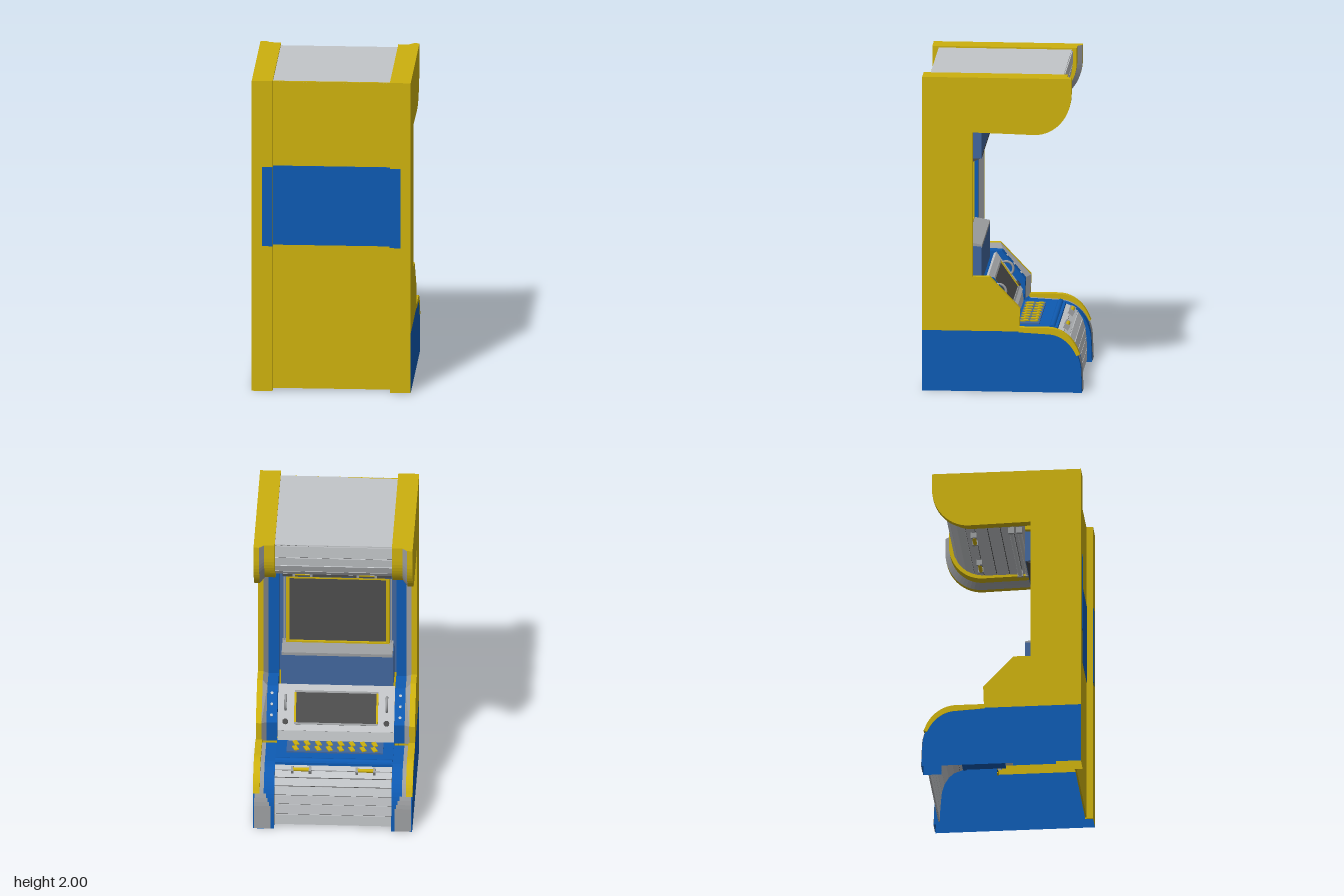
import * as THREE from 'three';

const mat = (name, color) => {
  const m = new THREE.MeshStandardMaterial({ color, side: THREE.DoubleSide });
  m.name = name;
  return m;
};

// Points along a quarter ellipse, in [z, y]
function arc(cz, cy, rz, ry, a0, a1, n = 14) {
  const pts = [];
  for (let i = 0; i <= n; i++) {
    const a = (a0 + (a1 - a0) * i / n) * Math.PI / 180;
    pts.push([cz + rz * Math.cos(a), cy + ry * Math.sin(a)]);
  }
  return pts;
}
const shapeOf = pts => new THREE.Shape(pts.map(p => new THREE.Vector2(p[0], p[1])));

// Flat plate in the z-y plane at a given x
function plate(pts, x) {
  return new THREE.ShapeGeometry(shapeOf(pts)).rotateY(-Math.PI / 2).translate(x, 0, 0);
}
// Solid with a z-y cross-section running from x0 to x1
function bar(pts, x0, x1) {
  return new THREE.ExtrudeGeometry(shapeOf(pts), { depth: x1 - x0, bevelEnabled: false })
    .rotateY(-Math.PI / 2).translate(x1, 0, 0);
}
// Ruled strip between two z-y paths at two x positions
function ribbon(a, xa, b, xb) {
  const v = [];
  const put = (x, p) => v.push(x, p[1], p[0]);
  for (let i = 0; i < a.length - 1; i++) {
    put(xa, a[i]); put(xa, a[i + 1]); put(xb, b[i]);
    put(xb, b[i]); put(xa, a[i + 1]); put(xb, b[i + 1]);
  }
  const g = new THREE.BufferGeometry();
  g.setAttribute('position', new THREE.Float32BufferAttribute(v, 3));
  g.computeVertexNormals();
  return g;
}

export function createModel() {
  const root = new THREE.Group();
  const yellow = mat('yellow', 0xccb00e), blue = mat('blue', 0x0e5ab2), slate = mat('slateBlue', 0x41669c);
  const grey = mat('midGrey', 0x9a9c9e), light = mat('lightGrey', 0xc2c5c8), dark = mat('darkGrey', 0x4c4c4c);

  const add = (name, geo, m, parent = root) => {
    const mesh = new THREE.Mesh(geo, m);
    mesh.name = name;
    parent.add(mesh);
    return mesh;
  };
  const box = (name, m, w, h, d, x, y, z, parent = root) => {
    const mesh = add(name, new THREE.BoxGeometry(w, h, d), m, parent);
    mesh.position.set(x, y, z);
    return mesh;
  };

  // Cabinet edge paths: outer rim and the recessed inner rim
  const hoodOut = [[-0.43, 2], ...arc(-0.2, 1.9, 0.23, 0.26, 180, 270), [0.185, 1.65]];
  const hoodIn = [[-0.4, 2], ...arc(-0.19, 1.905, 0.21, 0.23, 180, 270), [0.215, 1.685]];
  const jambOut = [[0.185, 1.65], [0.185, 0.73]];
  const jambIn = [[0.215, 1.685], [0.215, 0.7]];
  const deskOut = [[0.185, 0.73], [0.08, 0.73], [-0.11, 0.53], [-0.105, 0.4]];
  const deskIn = [[0.215, 0.7], [0.065, 0.7], [-0.08, 0.52], [-0.075, 0.385]];
  const baseArc = arc(-0.28, 0.13, 0.21, 0.245, 90, 180);
  const basePath = [[-0.1, 0.385], ...baseArc, [-0.495, 0]];
  const rearOut = [[0.5, 0], [0.5, 2], [-0.43, 2]];
  const rearIn = [[0.5, 0], [0.5, 2], [-0.4, 2]];

  for (const s of [1, -1]) {
    const side = new THREE.Group();
    side.name = s > 0 ? 'leftSide' : 'rightSide';
    root.add(side);
    const X0 = s * 0.495, X1 = s * 0.46, X2 = s * 0.43, X3 = s * 0.365;

    // Outer skins
    add('upperSkin', plate([[0.5, 0.385], [0.5, 2], ...hoodOut, ...deskOut, [-0.1, 0.385]], X0), yellow, side);
    add('baseSkin', plate([[0.5, 0], [0.5, 0.385], ...basePath], X0), blue, side);

    // Rear and top rail
    add('railOuter', ribbon(rearOut, X0, rearOut, X1), yellow, side);
    add('railMiddle', ribbon(rearOut, X1, rearIn, X2), yellow, side);
    add('railInner', ribbon(rearIn, X2, rearIn, X3), yellow, side);
    box('railReturn', yellow, 0.004, 2, 0.05, s * 0.367, 1, 0.475, side);
    box('topReturn', yellow, 0.004, 0.05, 0.87, s * 0.367, 1.975, 0.065, side);

    // Stepped front edges: rim, grey bevel, inner band
    [['hood', hoodOut, hoodIn, yellow], ['jamb', jambOut, jambIn, blue], ['desk', deskOut, deskIn, blue]]
      .forEach(([n, o, i, m]) => {
        add(n + 'Rim', ribbon(o, X0, o, X1), yellow, side);
        add(n + 'Bevel', ribbon(o, X1, i, X2), grey, side);
        add(n + 'Band', ribbon(i, X2, i, X3), m, side);
      });

    // Inner cheeks
    add('hoodCheek', plate([...hoodIn, [0.27, 1.685], [0.27, 2]], X3), yellow, side);
    add('jambCheek', plate([...jambIn, [0.27, 0.7], [0.27, 1.685]], X3), blue, side);
    add('deskCheek', plate([...deskIn, [0.27, 0.385], [0.27, 0.7]], X3), blue, side);
    add('baseCheek', plate([...basePath, [-0.38, 0], ...arc(-0.27, 0.13, 0.11, 0.16, 180, 90), [-0.1, 0.3]], X3), blue, side);

    // Base front, its arched plate and the yellow bumper
    add('baseFront', ribbon(basePath, X0, basePath, X3), blue, side);
    const lift = basePath.map(([z, y]) => [z - 0.003, y + 0.003]);
    add('baseBevel', ribbon(lift, X1, lift, X2), grey, side);
    const low = lift.filter(p => p[1] < 0.25 && p[0] < -0.4);
    const ends = low.map((p, i) => s * (0.385 + 0.03 * Math.max(0, 1 - i / 3)));
    for (let i = 0; i < low.length - 1; i++)
      add('baseFrontPlate', ribbon([low[i], low[i + 1]], ends[i], [low[i], low[i + 1]], s * 0.488), grey, side);
    const bumper = [[-0.1, 0.38], [-0.1, 0.41], ...arc(-0.28, 0.17, 0.21, 0.24, 90, 158),
      [-0.482, 0.245], [-0.465, 0.235], ...arc(-0.28, 0.13, 0.2, 0.24, 154, 90)];
    add('bumper', bar(bumper, s > 0 ? 0.455 : -0.497, s > 0 ? 0.497 : -0.455), yellow, side);

    // Bolts on the sloping desk band
    for (const t of [0.2, 0.5, 0.8]) {
      const b = add('bolt', new THREE.CylinderGeometry(0.009, 0.009, 0.008, 10), light, side);
      b.position.set(s * 0.4, 0.7 - 0.18 * t, 0.065 - 0.145 * t);
      b.rotation.x = -0.68;
    }
    // Thin blue panel across the rear rail
    box('rearPanelEnd', blue, 0.066, 0.51, 0.004, s * 0.398, 1.19, 0.501, side);
  }

  // Centre shell
  box('backPanel', yellow, 0.73, 1.98, 0.01, 0, 1, 0.455);
  box('rearPanel', blue, 0.73, 0.51, 0.004, 0, 1.19, 0.461);
  box('topPanel', light, 0.73, 0.01, 0.83, 0, 1.985, 0.045);
  box('screenWall', slate, 0.73, 1.0, 0.01, 0, 1.195, 0.275);

  // Slatted curved covers
  function slats(name, path) {
    const g = new THREE.Group();
    g.name = name;
    root.add(g);
    add('backing', ribbon(path, -0.365, path, 0.365), dark, g);
    for (let i = 0; i < path.length - 1; i++) {
      const [z0, y0] = path[i], [z1, y1] = path[i + 1];
      const len = Math.hypot(z1 - z0, y1 - y0);
      const m = box('slat', light, 0.728, 0.012, len * 0.93, 0, (y0 + y1) / 2, (z0 + z1) / 2, g);
      m.rotation.x = -Math.atan2(y1 - y0, z1 - z0);
    }
  }
  slats('hoodSlats', [[-0.37, 1.985], ...arc(-0.18, 1.9, 0.19, 0.2, 180, 270, 5), [-0.1, 1.7], [-0.02, 1.7], [0.06, 1.7], [0.14, 1.7]]);
  slats('baseSlats', [[-0.3, 0.375], ...arc(-0.32, 0.16, 0.135, 0.205, 95, 180, 5), [-0.46, 0.09], [-0.46, 0.015]]);

  // Yellow grab handles on grey brackets
  function handle(x, y, z, tilt) {
    const g = new THREE.Group();
    g.name = 'handle';
    g.position.set(x, y, z);
    g.rotation.x = tilt;
    root.add(g);
    const grip = add('grip', new THREE.CylinderGeometry(0.012, 0.012, 0.1, 10), yellow, g);
    grip.rotation.z = Math.PI / 2;
    grip.position.y = 0.022;
    for (const e of [-1, 1]) box('bracket', grey, 0.016, 0.04, 0.036, e * 0.055, 0.012, 0, g);
  }
  for (const x of [-0.2, 0.2]) {
    handle(x, 0.35, -0.375, -0.5);
    handle(x, 1.695, -0.19, Math.PI);
  }

  // Light tubes below the hood
  for (const z of [0.05, 0.1]) {
    const t = add('lightTube', new THREE.CylinderGeometry(0.014, 0.014, 0.64, 12), light);
    t.rotation.z = Math.PI / 2;
    t.position.set(0, 1.67, z);
    for (const e of [-1, 1]) box('tubeHolder', grey, 0.02, 0.045, 0.036, e * 0.32, 1.677, z);
  }
  box('hoodTrim', yellow, 0.73, 0.035, 0.06, 0, 1.675, 0.17);

  // Main screen with its frame and surrounding housings
  box('screen', dark, 0.61, 0.46, 0.01, 0, 1.155, 0.252);
  for (const e of [-1, 1]) {
    box('screenFrameSide', yellow, 0.022, 0.5, 0.034, e * 0.312, 1.155, 0.25);
    box('screenFrameEdge', yellow, 0.64, 0.022, 0.034, 0, 1.155 + e * 0.238, 0.25);
    box('screenFrameLip', grey, 0.01, 0.5, 0.02, e * 0.332, 1.155, 0.26);
  }
  add('upperHousing', bar([[0.14, 1.45], [0.27, 1.45], [0.27, 1.65], [0.14, 1.65]], -0.35, 0.35), slate);
  add('upperShelf', bar([[0.14, 1.452], [0.27, 1.395], [0.27, 1.47], [0.139, 1.47]], -0.34, 0.34), dark);
  add('lowerHousing', bar([[0.14, 0.66], [0.27, 0.66], [0.27, 0.89], [0.14, 0.89]], -0.35, 0.35), slate);
  add('lowerShelf', bar([[0.138, 0.88], [0.27, 0.88], [0.27, 0.925], [0.138, 0.9]], -0.345, 0.345), grey);

  // Desk: floor, riser and sloping control panel
  box('deskFloor', blue, 0.73, 0.02, 0.29, 0, 0.377, -0.19);
  box('keyTray', slate, 0.6, 0.012, 0.13, 0, 0.39, -0.15);
  add('deskLip', new THREE.CylinderGeometry(0.02, 0.02, 0.73, 12).rotateZ(Math.PI / 2).translate(0, 0.38, -0.3), blue);
  for (let r = 0; r < 2; r++) for (let i = 0; i < 8; i++) {
    const k = box('key', yellow, 0.028, 0.014, 0.05, -0.245 + i * 0.07, 0.396, -0.18 + r * 0.062);
    k.rotation.y = 0.4;
  }
  add('deskRiser', bar([[-0.07, 0.385], [0, 0.385], [0, 0.47], [-0.06, 0.465]], -0.363, 0.363), light);

  const panel = new THREE.Group();
  panel.name = 'controlPanel';
  panel.position.set(0, 0.57, 0.025);
  panel.rotation.x = -Math.atan2(0.23, 0.16);
  root.add(panel);
  box('panelBody', light, 0.726, 0.02, 0.29, 0, 0, 0, panel);
  box('panelScreen', dark, 0.5, 0.008, 0.19, 0, 0.012, 0, panel);
  for (const e of [-1, 1]) {
    box('screenEdge', grey, 0.52, 0.016, 0.012, 0, 0.014, e * 0.1, panel);
    box('screenSide', yellow, 0.012, 0.016, 0.19, e * 0.255, 0.014, 0, panel);
    const h = add('panelHandle', new THREE.TorusGeometry(0.045, 0.008, 8, 16, Math.PI), grey, panel);
    h.rotation.y = Math.PI / 2;
    h.position.set(e * 0.315, 0.008, 0.03);
    const knob = add('knob', new THREE.CylinderGeometry(0.018, 0.018, 0.018, 12), dark, panel);
    knob.position.set(e * 0.315, 0.015, -0.09);
  }
  return root;
}
